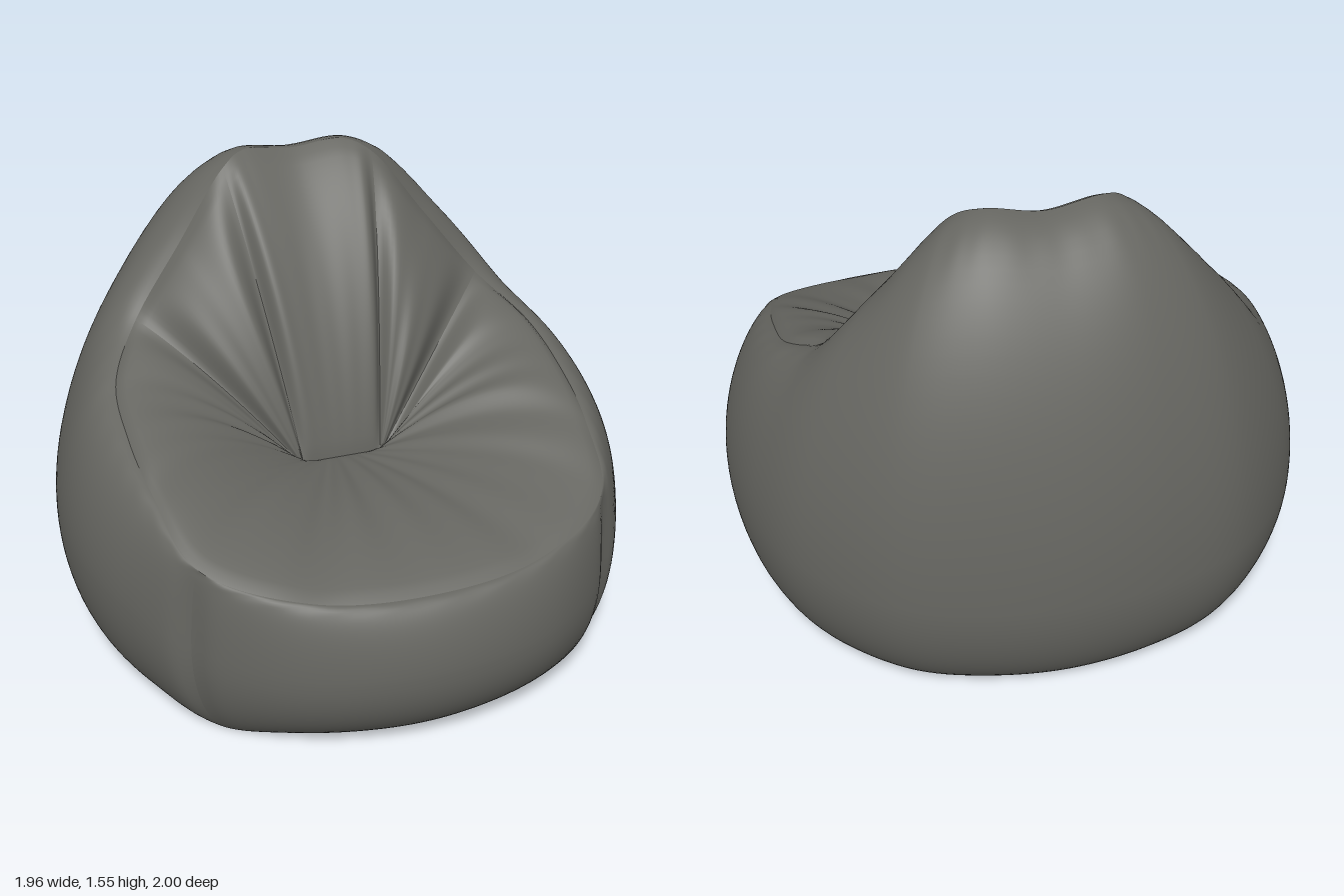
import * as THREE from 'three';

const N = 20; // stations around the bag: 0 = front, 5 = its left, 10 = back
const V = (x, y, z) => new THREE.Vector3(x, y, z);
const smooth = THREE.MathUtils.smoothstep;

// Closed loop through half a set of stations and their mirror images.
function loop(half) {
  const pts = half.map(p => V(...p));
  for (let i = 9; i > 0; i--) pts.push(V(-half[i][0], half[i][1], half[i][2]));
  const curve = new THREE.CatmullRomCurve3(pts, true);
  return u => curve.getPoint((((u % N) + N) % N) / N);
}

const base = loop([[0, 0, 0.8], [0.36, 0, 0.74], [0.61, 0, 0.63], [0.73, 0, 0.4], [0.8, 0, 0.18], [0.82, 0, -0.08],
  [0.77, 0, -0.34], [0.66, 0, -0.55], [0.46, 0, -0.73], [0.24, 0, -0.81], [0, 0, -0.84]]);
const belly = loop([[0, 0.32, 1], [0.42, 0.32, 0.91], [0.73, 0.35, 0.67], [0.88, 0.4, 0.42], [0.96, 0.42, 0.18], [0.98, 0.42, -0.08],
  [0.93, 0.42, -0.38], [0.82, 0.42, -0.62], [0.58, 0.41, -0.86], [0.32, 0.4, -0.96], [0, 0.4, -1]]);
const rim = loop([[0, 0.56, 0.9], [0.38, 0.58, 0.85], [0.68, 0.65, 0.67], [0.75, 0.77, 0.4], [0.77, 0.85, 0.15], [0.75, 0.93, -0.1],
  [0.63, 1.05, -0.3], [0.45, 1.28, -0.37], [0.27, 1.51, -0.43], [0.18, 1.55, -0.48], [0, 1.53, -0.5]]);
const pit = loop([0, 0.05, 0.09, 0.12, 0.14, 0.15, 0.15, 0.145, 0.14, 0.08, 0].map(x => [x, 0.58, 0.04]));

// Distance from the front in stations, the same on both sides.
const fold = u => {
  const m = ((u % N) + N) % N;
  return m > 10 ? N - m : m;
};
const bump = (x, w) => Math.exp(-((x / w) ** 2));

// Outer skin: base edge to belly, belly to rim, pinched along the front corner seams.
function shellPoint(u, v) {
  const B = base(u), E = belly(u), R = rim(u);
  let p;
  if (v < 0.4) {
    const c1 = B.clone().lerp(E, 0.6).setY(0.06);
    const c2 = E.clone().setY(E.y * 0.55);
    p = new THREE.CubicBezierCurve3(B, c1, c2, E).getPoint(v / 0.4);
  } else {
    const c1 = E.clone().setY(E.y + 0.48 * (R.y - E.y));
    const c2 = R.clone().lerp(E, 0.5).setY(R.y);
    p = new THREE.CubicBezierCurve3(E, c1, c2, R).getPoint((v - 0.4) / 0.6);
  }
  const pinch = 1 - 0.025 * bump(fold(u) - 2, 0.16) * Math.sin(Math.PI * v);
  // gathers just below the rim seam
  const gather = 1 + 0.006 * Math.sin(u * Math.PI * 4.3) * bump(v - 0.92, 0.05) * Math.max(0, Math.sin(Math.PI * v));
  return p.multiply(V(pinch * gather, 1, pinch * gather));
}

// Inner cushions: rim down to the pit, puffed out between the seams.
function innerPoint(u, v) {
  const k = fold(u), s = smooth(k, 4, 8);
  const wave = Math.max(0, Math.sin(Math.PI * v ** 0.8));
  let puff = (0.07 + 0.03 * smooth(k, 1, 4)) * wave ** 0.8;
  for (const [seam, depth, width] of [[8, 0.6, 0.35], [6, 0.55, 0.3], [3, 0.25, 0.3], [1, 0.25, 0.25]])
    puff *= 1 - depth * bump(k - seam, width);
  const a = (u / N) * Math.PI * 2;
  const calm = 1 - 0.8 * smooth(k, 7.6, 8.4);
  const wrinkles = 0.008 * calm * wave * (Math.sin(19 * a + 2 * Math.sin(5 * a)) + 0.6 * Math.sin(34 * a + 1));
  const out = V(0, 1 - 0.75 * s, s).normalize();
  return rim(u).lerp(pit(u), v).addScaledVector(out, puff + wrinkles * v);
}

const basePoint = (u, v) => V(0, 0, 0).lerp(base(u), v);

// Grid of faces over stations u0..u1.
function panel(name, point, u0, u1, rows, material) {
  const cols = Math.round((u1 - u0) * 14), pos = [], idx = [];
  for (let j = 0; j <= rows; j++)
    for (let i = 0; i <= cols; i++)
      pos.push(...point(u0 + ((u1 - u0) * i) / cols, j / rows).toArray());
  for (let j = 0; j < rows; j++)
    for (let i = 0; i < cols; i++) {
      const a = j * (cols + 1) + i, b = a + 1, c = a + cols + 1, d = c + 1;
      idx.push(a, b, d, a, d, c);
    }
  const g = new THREE.BufferGeometry();
  g.setAttribute('position', new THREE.Float32BufferAttribute(pos, 3));
  g.setIndex(idx);
  g.computeVertexNormals();
  const mesh = new THREE.Mesh(g, material);
  mesh.name = name;
  return mesh;
}

export function createModel() {
  const fabric = new THREE.MeshStandardMaterial({ color: 0x666661 });
  fabric.name = 'grey fabric';
  const group = new THREE.Group();
  group.name = 'beanBagChair';
  group.add(
    panel('frontPanel', shellPoint, -2, 2, 40, fabric),
    panel('sideAndBackShell', shellPoint, 2, 18, 40, fabric),
    panel('seatAndArms', innerPoint, -6, 6, 36, fabric),
    panel('leftBackCushion', innerPoint, 6, 8, 36, fabric),
    panel('centreBackCushion', innerPoint, 8, 12, 36, fabric),
    panel('rightBackCushion', innerPoint, 12, 14, 36, fabric),
    panel('base', basePoint, 0, N, 2, fabric),
  );
  return group;
}
